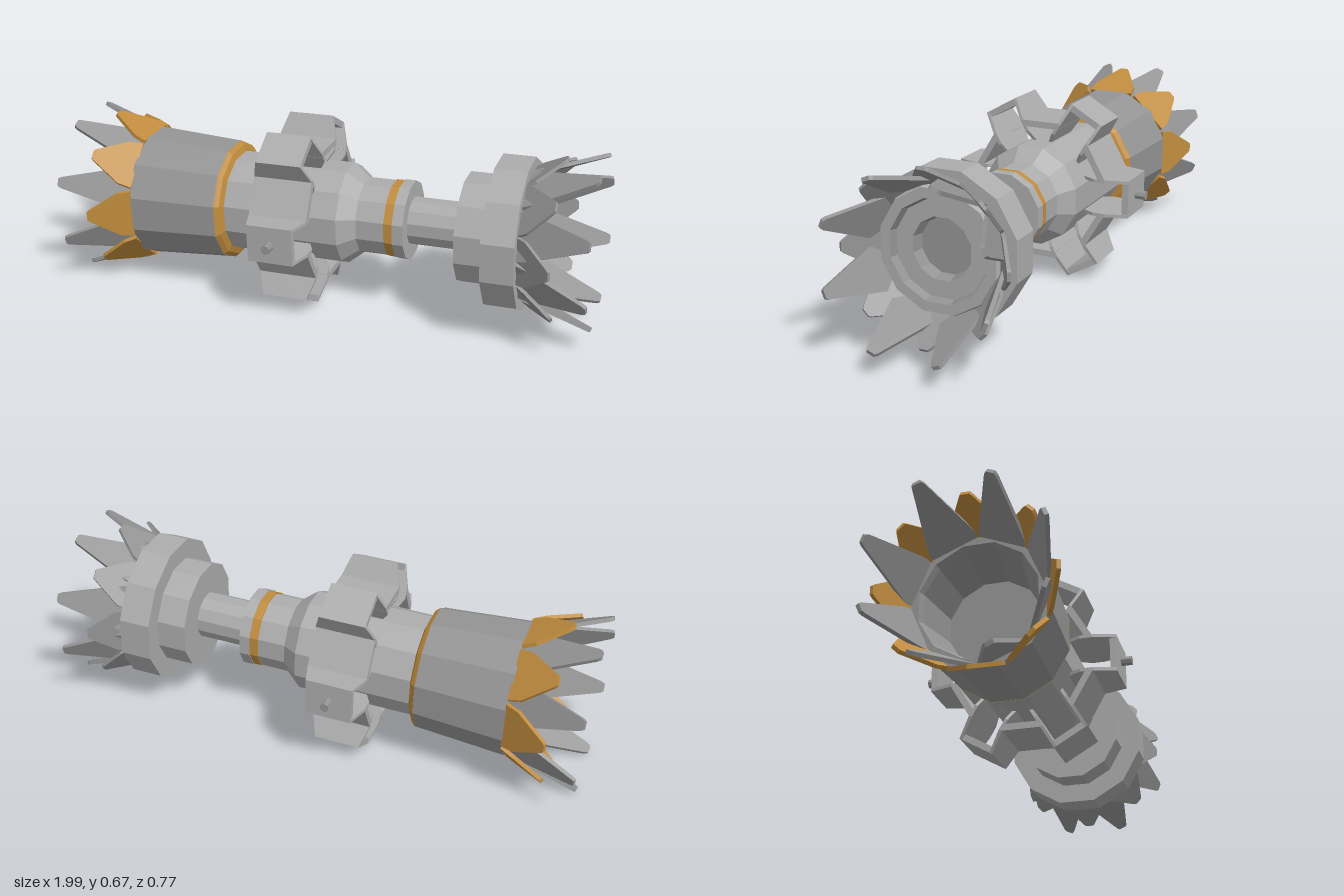
import * as THREE from 'three';

const steel = new THREE.MeshStandardMaterial({ color: 0xacacac, flatShading: true });
const darkSteel = new THREE.MeshStandardMaterial({ color: 0x949494, flatShading: true });
const gold = new THREE.MeshStandardMaterial({ color: 0xc08c3e, flatShading: true });
const SIDES = 12;

function add(parent, name, geometry, material = steel) {
  const mesh = new THREE.Mesh(geometry, material);
  mesh.name = name;
  parent.add(mesh);
  return mesh;
}

// Twelve-sided turned part along x; profile holds [x, flat-to-centre radius]
function turned(profile) {
  const k = 1 / Math.cos(Math.PI / SIDES);
  const points = profile.map(([x, r]) => new THREE.Vector2(r * k, x));
  const geometry = new THREE.LatheGeometry(points, SIDES, Math.PI / SIDES);
  return geometry.rotateZ(-Math.PI / 2);
}

// Flat blade from [x, r] to [x, r]; outline holds [fraction of length, half width]
function blade(from, to, outline, thickness) {
  const a = new THREE.Vector3(...from, 0);
  const along = new THREE.Vector3(...to, 0).sub(a);
  const length = along.length();
  along.normalize();
  const across = new THREE.Vector3(0, 0, 1);
  const normal = new THREE.Vector3().crossVectors(along, across);
  const half = outline.map(([t, w]) => new THREE.Vector2(t * length, w));
  const other = half.map((p) => new THREE.Vector2(p.x, -p.y)).reverse();
  const geometry = new THREE.ExtrudeGeometry(new THREE.Shape([...half, ...other]), { depth: thickness, bevelEnabled: false });
  geometry.translate(0, 0, -thickness / 2);
  geometry.applyMatrix4(new THREE.Matrix4().makeBasis(along, across, normal).setPosition(a));
  return geometry;
}

// Repeats a geometry around the x axis
function ring(parent, name, geometry, count, start, material = steel) {
  const group = new THREE.Group();
  group.name = name + 'Ring';
  for (let i = 0; i < count; i++) {
    add(group, name, geometry, material).rotation.x = start + (i * 2 * Math.PI) / count;
  }
  parent.add(group);
}

export function createModel() {
  const model = new THREE.Group();
  model.name = 'model';
  const body = new THREE.Group();
  body.name = 'body';
  body.position.y = 0.34;
  body.rotation.z = 0.033; // slight lean of the whole shaft
  model.add(body);

  // Hollow flared pommel
  add(body, 'flaredBarrel', turned([
    [-0.52, 0], [-0.52, 0.16], [-0.7, 0.19], [-0.72, 0.2], [-0.72, 0.24], [-0.385, 0.218], [-0.385, 0],
  ]), darkSteel);
  add(body, 'barrelTrim', turned([[-0.387, 0.15], [-0.387, 0.219], [-0.37, 0.205], [-0.36, 0.18], [-0.36, 0.15]]), gold);

  // Middle grip with shoulder, trim and collar
  add(body, 'grip', turned([[-0.37, 0.182], [0.075, 0.182], [0.135, 0.136], [0.245, 0.136], [0.245, 0]]));
  add(body, 'gripTrim', turned([[0.24, 0], [0.24, 0.139], [0.275, 0.139], [0.275, 0]]), gold);
  add(body, 'collar', turned([[0.272, 0], [0.272, 0.142], [0.312, 0.142], [0.312, 0]]));
  add(body, 'rod', turned([[0.3, 0.085], [0.53, 0.085]]));

  // Stepped head with recessed emitter face
  add(body, 'head', turned([
    [0.51, 0], [0.51, 0.195], [0.62, 0.195], [0.62, 0.267], [0.737, 0.267], [0.737, 0.218], [0.765, 0.208],
    [0.765, 0.173],
  ]));
  add(body, 'outerGroove', turned([[0.765, 0.173], [0.735, 0.165]]), darkSteel);
  add(body, 'innerFace', turned([[0.735, 0.165], [0.735, 0.106]]));
  add(body, 'emitterWell', turned([[0.735, 0.106], [0.69, 0.097], [0.69, 0]]), darkSteel);

  // Two staggered crowns of blades at each end
  const step = Math.PI / 4;
  const longOutline = [[0, 0.085], [0.15, 0.082], [0.96, 0.021], [1, 0.014]];
  const shortOutline = [[0, 0.09], [0.3, 0.085], [0.95, 0.022], [1, 0.015]];
  ring(body, 'headLongBlade', blade([0.73, 0.215], [0.985, 0.306], longOutline, 0.014), 8, step / 2, darkSteel);
  ring(body, 'headShortBlade', blade([0.73, 0.212], [0.86, 0.3], shortOutline, 0.012), 8, 0, darkSteel);
  ring(body, 'pommelLongBlade', blade([-0.71, 0.215], [-0.985, 0.315], longOutline, 0.014), 8, step / 2, darkSteel);
  ring(body, 'pommelShortBlade', blade([-0.716, 0.232], [-0.87, 0.303], shortOutline, 0.014), 8, 0, gold);

  // Clamp: six raised hollow brackets joined by flat panels
  const cx = -0.115;
  const wall = new THREE.Shape([
    [-0.085, 0.17], [0.085, 0.17], [0.11, 0.215], [0.11, 0.26], [0.085, 0.343], [-0.085, 0.343], [-0.11, 0.26], [-0.11, 0.215],
  ].map(([x, y]) => new THREE.Vector2(x, y)));
  const wallGeometry = new THREE.ExtrudeGeometry(wall, { depth: 0.012, bevelEnabled: false });
  const quarter = Math.PI / 2;
  ring(body, 'bracketWallA', wallGeometry.clone().translate(cx, 0, 0.058), 6, quarter);
  ring(body, 'bracketWallB', wallGeometry.clone().translate(cx, 0, -0.07), 6, quarter);
  ring(body, 'bracketPlate', new THREE.BoxGeometry(0.17, 0.024, 0.14).translate(cx, 0.332, 0), 6, quarter);
  ring(body, 'clampPanel', new THREE.BoxGeometry(0.22, 0.024, 0.14).translate(cx, 0.248, 0), 6, 0);

  // Bolts through the front and back brackets
  const bolt = new THREE.CylinderGeometry(0.017, 0.017, 0.06, 8).translate(cx, 0.353, 0);
  ring(body, 'bolt', bolt, 2, quarter, darkSteel);

  return model;
}
